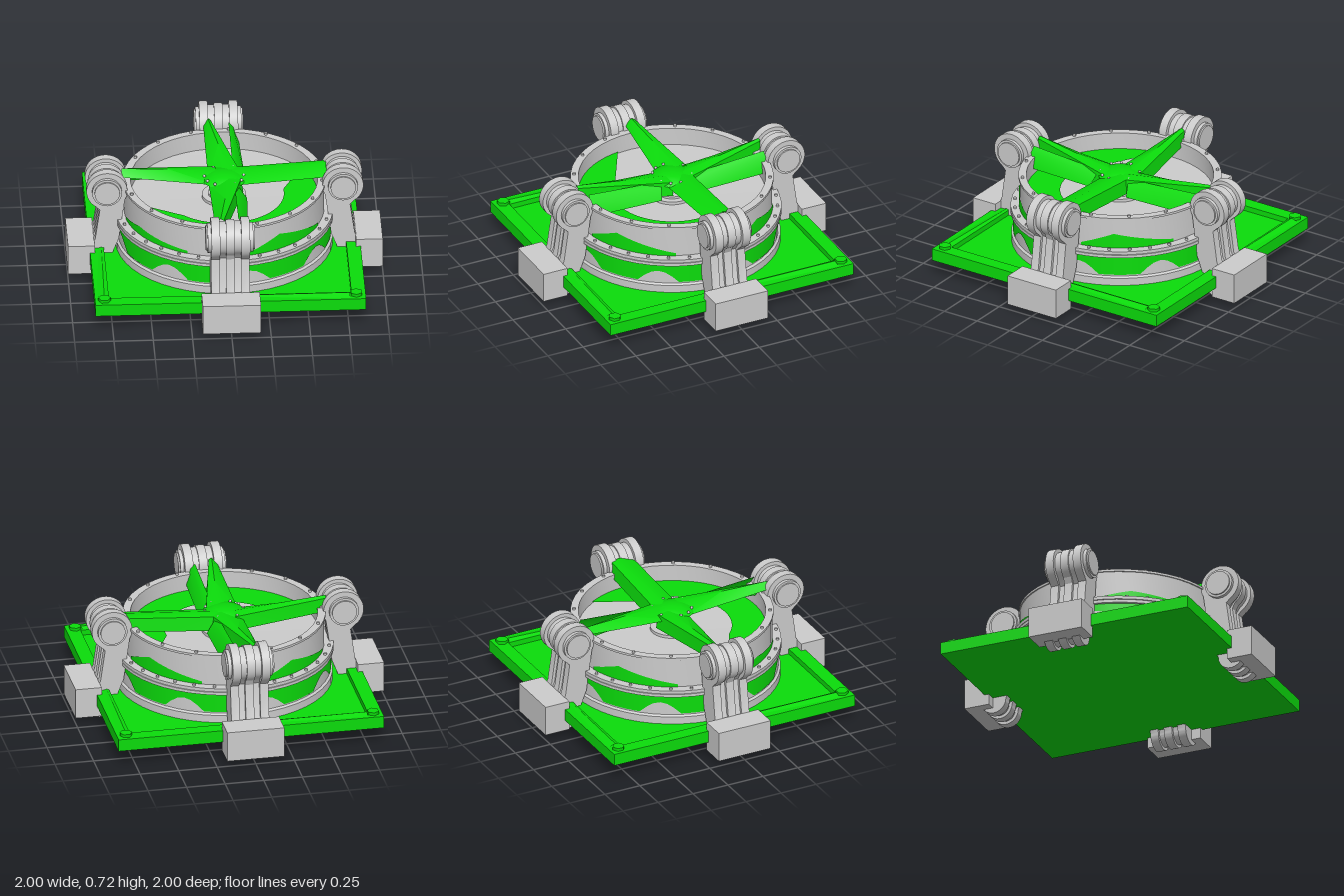
import * as THREE from 'three';
import { toCreasedNormals } from 'three/addons/utils/BufferGeometryUtils.js';

const grey = new THREE.MeshStandardMaterial({ color: 0xcccccc });
const green = new THREE.MeshStandardMaterial({ color: 0x0bdc0b });
const greyThin = new THREE.MeshStandardMaterial({ color: 0xcccccc, side: THREE.DoubleSide });
const greenThin = new THREE.MeshStandardMaterial({ color: 0x0bdc0b, side: THREE.DoubleSide });

function add(parent, name, geometry, material, x = 0, y = 0, z = 0) {
  const mesh = new THREE.Mesh(geometry, material);
  mesh.name = name;
  mesh.position.set(x, y, z);
  parent.add(mesh);
  return mesh;
}

const lathe = (pts) =>
  toCreasedNormals(new THREE.LatheGeometry(pts.map(([r, y]) => new THREE.Vector2(r, y)), 48), 0.5);

// Side outline of a leg: round head, slanted shank, round foot
function legGeometry(headRadius, inset, width) {
  const s = new THREE.Shape();
  s.moveTo(0.91 - inset, 0.085);
  s.lineTo(0.825 - inset, 0.25);
  s.lineTo(0.795 - inset, 0.46);
  s.absarc(0.75, 0.595, headRadius, -1.0, Math.PI + 0.5, false);
  s.lineTo(0.675 + inset, 0.25);
  s.lineTo(0.74 + inset, 0.085);
  s.absarc(0.825, 0.085, 0.085 - inset, Math.PI, Math.PI * 2, false);
  const g = new THREE.ExtrudeGeometry(s, { depth: width, bevelEnabled: false, curveSegments: 20 });
  g.translate(0, 0, -width / 2);
  return toCreasedNormals(g, 0.5);
}

function clamp() {
  const g = new THREE.Group();
  g.name = 'clamp';
  add(g, 'footBlock', new THREE.BoxGeometry(0.17, 0.2, 0.37), grey, 0.915, 0.135, 0);
  add(g, 'legCore', legGeometry(0.105, 0.02, 0.23), grey);
  for (const z of [-0.095, 0.095]) add(g, 'legRidge', legGeometry(0.13, 0, 0.055), grey, 0, 0, z);
  add(g, 'legRidge', legGeometry(0.115, 0, 0.055), grey);
  for (const [r, w] of [[0.095, 0.29], [0.08, 0.31]]) {
    add(g, 'hingePin', new THREE.CylinderGeometry(r, r, w, 24), grey, 0.75, 0.595, 0).rotation.x = Math.PI / 2;
  }
  return g;
}

// Strip on the drum wall whose lower and upper edges follow functions of t (0..1)
function wallPatch(radius, start, length, low, high) {
  const g = new THREE.CylinderGeometry(radius, radius, 1, 96, 1, true, start, length);
  const p = g.attributes.position, uv = g.attributes.uv;
  for (let i = 0; i < p.count; i++) p.setY(i, p.getY(i) > 0 ? high(uv.getX(i)) : low(uv.getX(i)));
  return g;
}

// Folded sheet from cross-sections with equal numbers of points
function sheet(sections) {
  const g = new THREE.BufferGeometry();
  const n = sections[0].length, index = [];
  for (let i = 0; i < sections.length - 1; i++) {
    for (let j = 0; j < n - 1; j++) {
      const a = i * n + j, b = a + n;
      index.push(a, b, a + 1, a + 1, b, b + 1);
    }
  }
  g.setAttribute('position', new THREE.Float32BufferAttribute(sections.flat(2), 3));
  g.setIndex(index);
  return toCreasedNormals(g, 0.7);
}

export function createModel() {
  const model = new THREE.Group();
  model.name = 'clampedFan';

  // Square plate with raised rim, corner bolts and a thin spike along each rim
  const base = new THREE.Group();
  base.name = 'base';
  model.add(base);
  add(base, 'plate', new THREE.BoxGeometry(1.72, 0.045, 1.72), green, 0, 0.1275, 0);
  for (let k = 0; k < 4; k++) {
    const side = new THREE.Group();
    side.name = 'rimSide';
    side.rotation.y = k * Math.PI / 2;
    base.add(side);
    const s = new THREE.Shape([[-0.86, 0.86], [0.86, 0.86], [0.77, 0.77], [-0.77, 0.77]].map(([x, y]) => new THREE.Vector2(x, y)));
    const rim = new THREE.ExtrudeGeometry(s, { depth: 0.035, bevelEnabled: false });
    rim.rotateX(-Math.PI / 2);
    add(side, 'rim', rim, green, 0, 0.15, 0);
    add(side, 'rimSpike', sheet([
      [[-0.76, 0.186, -0.85], [-0.76, 0.2, -0.8], [-0.76, 0.186, -0.77]],
      [[0.1, 0.186, -0.785], [0.1, 0.188, -0.78], [0.1, 0.186, -0.77]],
    ]), greenThin);
    add(side, 'cornerBolt', new THREE.CylinderGeometry(0.04, 0.04, 0.03, 6).toNonIndexed(), green, 0.8, 0.19, 0.8);
    const c = clamp();
    c.rotation.y = k * Math.PI / 2;
    model.add(c);
  }

  // Drum housing: lower band, flange, upper wall, inner lip and floor
  const drum = new THREE.Group();
  drum.name = 'drum';
  model.add(drum);
  add(drum, 'housing', lathe([
    [0.69, 0.14], [0.69, 0.2], [0.675, 0.21], [0.675, 0.345], [0.695, 0.345], [0.695, 0.365],
    [0.685, 0.367], [0.695, 0.369], [0.695, 0.39], [0.637, 0.39], [0.637, 0.585], [0.645, 0.585],
    [0.645, 0.6], [0.595, 0.6], [0.595, 0.48], [0.2, 0.47], [0, 0.47],
  ]), greyThin);
  add(drum, 'hub', lathe([[0.14, 0.46], [0.14, 0.49], [0.1, 0.49], [0.1, 0.505], [0.05, 0.505], [0.05, 0.61], [0, 0.61]]), grey);
  for (let i = 0; i < 32; i++) {
    const a = (i + 0.5) * Math.PI / 16;
    const s = Math.sin(a), c = Math.cos(a);
    add(drum, 'flangeBolt', new THREE.CylinderGeometry(0.01, 0.01, 0.014, 8), grey, 0.67 * s, 0.396, 0.67 * c);
    if (i % 2) add(drum, 'rimBolt', new THREE.CylinderGeometry(0.01, 0.01, 0.014, 8), grey, 0.622 * s, 0.606, 0.622 * c);
  }

  // Coloured coat on the drum, scalloped below and peaked above
  add(drum, 'lowerCoat', wallPatch(0.679, 0, Math.PI * 2,
    (t) => 0.22 + 0.08 * Math.max(0, Math.sin(t * Math.PI * 16)), () => 0.344), greenThin);
  [0.09, 0.08, 0.08, 0.04].forEach((peak, k) => {
    add(drum, 'upperCoat', wallPatch(0.641, 0.2 + k * Math.PI / 2, 0.95,
      () => 0.391, (t) => 0.41 + peak * Math.min(t / 0.35, (1 - t) / 0.65)), greenThin);
  });

  // Coloured band on the drum floor, open towards the back
  const band = new THREE.Shape();
  band.absarc(0, 0, 0.594, -Math.PI * 0.95, 0.55, false);
  band.absarc(0, 0, 0.38, 0.1, -Math.PI * 0.75, true);
  const bandGeometry = new THREE.ShapeGeometry(band, 32);
  bandGeometry.rotateX(-Math.PI / 2);
  add(drum, 'floorBand', bandGeometry, greenThin, 0, 0.49, 0);

  // Four folded blades: a steep drop on the ridge side, a gentle slope to the other
  const fan = new THREE.Group();
  fan.name = 'fan';
  model.add(fan);
  const blades = [
    // [turn, ridge side at root, low side at root, ridge side at tip, low side at tip]
    [0, -0.12, 0.08, -0.11, 0.07],
    [Math.PI / 2, 0.12, -0.1, -0.05, -0.1],
    [Math.PI, 0.14, -0.07, 0.06, -0.01],
    [-Math.PI / 2, -0.12, 0.1, 0.03, 0.09],
  ];
  for (const [turn, r0, l0, r1, l1] of blades) {
    const sections = [0, 0.5, 1].map((t) => {
      const x = 0.05 + 0.6 * t, y = 0.62 + 0.04 * t;
      const ridge = r0 + (r1 - r0) * t, low = l0 + (l1 - l0) * t;
      const at = (f) => ridge + (low - ridge) * f;
      return [[x, y - 0.09, at(0)], [x, y, at(0.07)], [x, y + 0.012, at(0.4)], [x, y - 0.03, at(1)]];
    });
    add(fan, 'blade', sheet(sections), greenThin).rotation.y = turn;
  }
  // Steep flaps beside the front and rear blades
  for (const s of [-1, 1]) {
    add(fan, 'sideFlap', sheet([
      [[0.06, 0.62, 0.12 * s], [0.09, 0.6, 0.12 * s], [0.14, 0.53, 0.14 * s]],
      [[0.06, 0.655, 0.62 * s], [0.09, 0.62, 0.62 * s], [0.125, 0.53, 0.58 * s]],
    ]), greenThin);
  }
  add(fan, 'boss', lathe([[0.14, 0.6], [0.12, 0.617], [0.06, 0.634], [0, 0.638]]), greenThin);
  for (let i = 0; i < 12; i++) {
    const a = i * Math.PI / 6;
    add(fan, 'bossBolt', new THREE.SphereGeometry(0.01, 8, 6), grey, 0.125 * Math.cos(a), 0.62, 0.125 * Math.sin(a));
  }
  return model;
}
